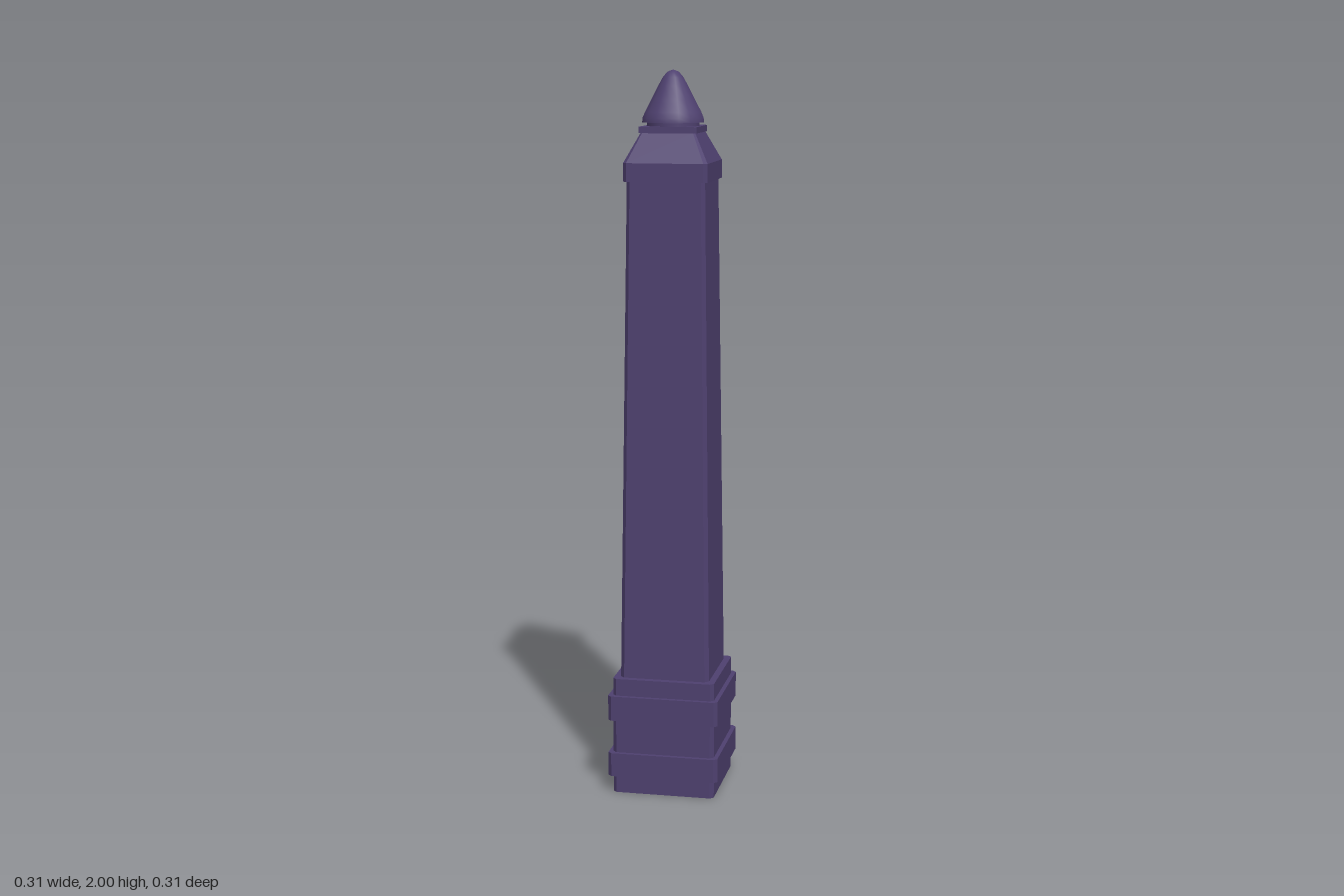
import * as THREE from 'three';

const material = new THREE.MeshStandardMaterial({ color: 0x4f4170, flatShading: true });
const smooth = new THREE.MeshStandardMaterial({ color: 0x4f4170 });

// Closed loft through square sections with cut corners: [y, half width, corner cut]
function loft(name, sections) {
  const pos = [], idx = [];
  for (const [y, h, c] of sections) {
    const k = h - c;
    for (const [x, z] of [[h, k], [k, h], [-k, h], [-h, k], [-h, -k], [-k, -h], [k, -h], [h, -k]]) pos.push(x, y, z);
  }
  for (let s = 0; s < sections.length - 1; s++) {
    for (let i = 0; i < 8; i++) {
      const a = s * 8 + i, b = s * 8 + (i + 1) % 8;
      idx.push(a, a + 8, b, b, a + 8, b + 8);
    }
  }
  const top = (sections.length - 1) * 8;
  for (let i = 1; i < 7; i++) {
    idx.push(0, i, i + 1);
    idx.push(top, top + i + 1, top + i);
  }
  const indexed = new THREE.BufferGeometry();
  indexed.setAttribute('position', new THREE.Float32BufferAttribute(pos, 3));
  indexed.setIndex(idx);
  const geometry = indexed.toNonIndexed();
  geometry.computeVertexNormals();
  const mesh = new THREE.Mesh(geometry, material);
  mesh.name = name;
  return mesh;
}

export function createModel() {
  const model = new THREE.Group();
  model.name = 'obelisk';

  // Stepped plinth with two projecting bands
  const plinth = new THREE.Group();
  plinth.name = 'plinth';
  plinth.add(loft('plinthBlock', [[0, 0.143, 0.01], [0.33, 0.143, 0.01]]));
  plinth.add(loft('lowerBand', [[0.05, 0.155, 0.01], [0.117, 0.155, 0.01]]));
  plinth.add(loft('upperBand', [[0.212, 0.155, 0.01], [0.282, 0.155, 0.01]]));
  model.add(plinth);

  // Tapered shaft
  model.add(loft('shaft', [[0.325, 0.125, 0.011], [1.71, 0.107, 0.01]]));

  // Sloped capital and the thin slab on top of it
  model.add(loft('capital', [[1.705, 0.115, 0.01], [1.755, 0.115, 0.01], [1.835, 0.074, 0.005]]));
  model.add(loft('capSlab', [[1.833, 0.079, 0.001], [1.85, 0.079, 0.001]]));

  // Short round neck
  const neck = new THREE.Mesh(new THREE.CylinderGeometry(0.072, 0.072, 0.014, 16), smooth);
  neck.name = 'neck';
  neck.position.y = 1.855;
  model.add(neck);

  // Rounded conical finial
  const profile = [[0.085, 1.86], [0.084, 1.872], [0.077, 1.888], [0.06, 1.92], [0.041, 1.957],
    [0.028, 1.98], [0.016, 1.994], [0, 2]].map(([r, y]) => new THREE.Vector2(r, y));
  const finial = new THREE.Mesh(new THREE.LatheGeometry(profile, 16), smooth);
  finial.name = 'finial';
  model.add(finial);

  const underside = new THREE.Mesh(new THREE.CircleGeometry(0.085, 16), smooth);
  underside.name = 'finialUnderside';
  underside.rotation.x = Math.PI / 2;
  underside.position.y = 1.86;
  model.add(underside);

  return model;
}
